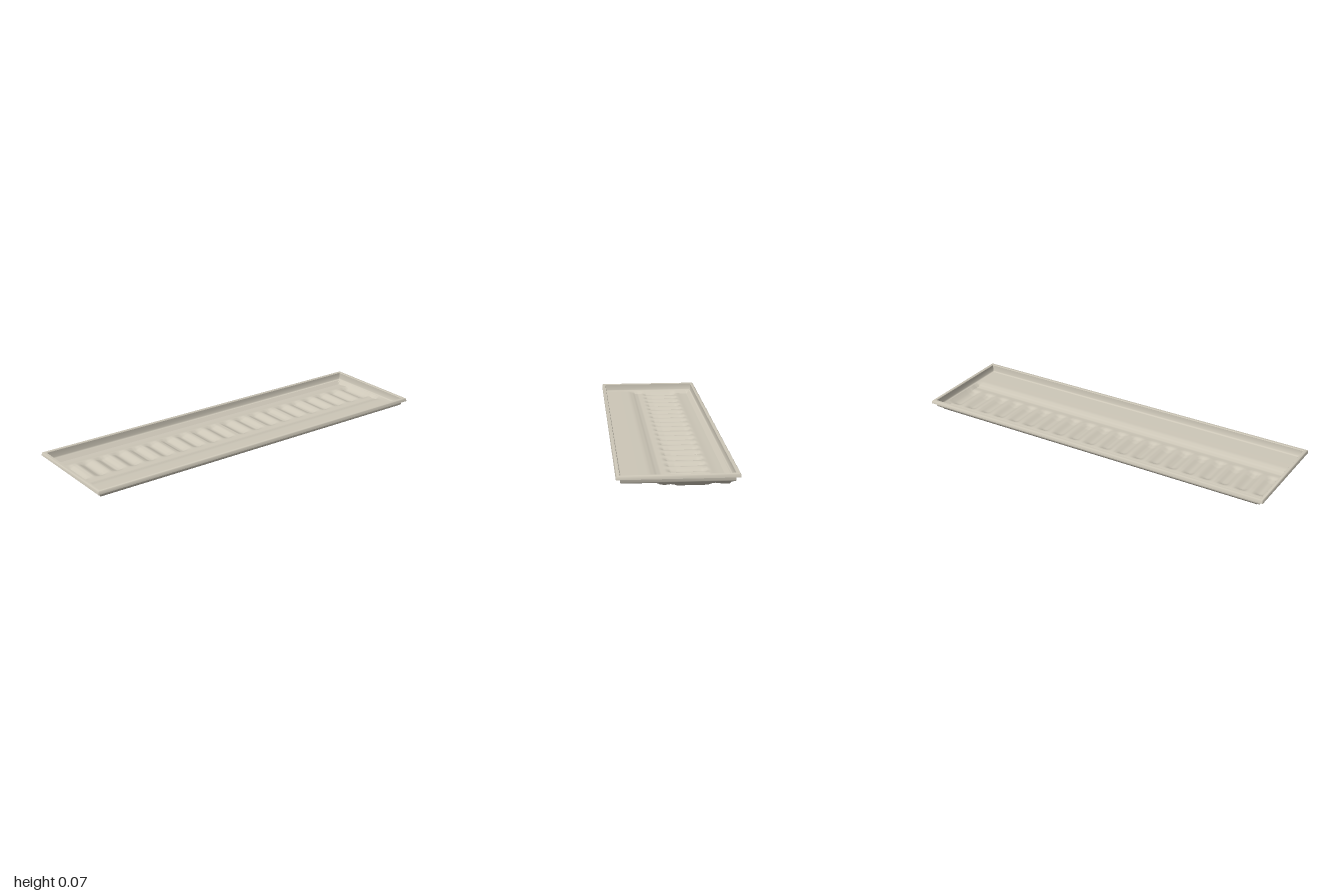
import * as THREE from 'three';
import { toCreasedNormals } from 'three/addons/utils/BufferGeometryUtils.js';

const WALL_X = 0.98, WALL_Z = 0.262; // wall half sizes
const INSET = 0.008, EDGE_Y = 0.03; // where the floor meets the wall
const RIBS = 20, PITCH = 1.95 / RIBS;

// floor height along z, back to front, on the crests between the hollows
const PROFILE = [
  [-0.254, 0.03], [-0.235, 0.012], [-0.2, 0.014], [-0.17, 0.018], [-0.13, 0.02], [0.01, 0.019],
  [0.04, 0.016], [0.06, 0.013], [0.08, 0.016], [0.1, 0.024], [0.12, 0.028], [0.16, 0.029], [0.254, 0.03],
];

function baseHeight(z) {
  let i = 0;
  while (i < PROFILE.length - 2 && z > PROFILE[i + 1][0]) i++;
  const [z0, y0] = PROFILE[i], [z1, y1] = PROFILE[i + 1];
  return THREE.MathUtils.lerp(y0, y1, (z - z0) / (z1 - z0));
}

function floorHeight(x, z) {
  const { smoothstep, lerp } = THREE.MathUtils;
  // rounded hollows pressed across the middle band
  const band = smoothstep(z, -0.17, -0.135) * (1 - smoothstep(z, 0, 0.04));
  const hollow = 0.5 - 0.5 * Math.cos((2 * Math.PI * x) / PITCH);
  const y = lerp(baseHeight(z), 0.003, band * hollow);
  // sloping ends
  const end = Math.max(0, (Math.abs(x) - 0.952) / (WALL_X - INSET - 0.952));
  return lerp(y, EDGE_Y, Math.min(1, end));
}

function floorGeometry() {
  const zs = [];
  for (let i = 0; i < PROFILE.length - 1; i++) {
    const [a] = PROFILE[i], [b] = PROFILE[i + 1];
    const n = Math.max(2, Math.round((b - a) / 0.01));
    for (let k = 0; k < n; k++) zs.push(a + ((b - a) * k) / n);
  }
  zs.push(WALL_Z - INSET);
  const xs = [-(WALL_X - INSET)], steps = RIBS * 12;
  for (let i = 0; i <= steps; i++) xs.push(-0.952 + (1.904 * i) / steps);
  xs.push(WALL_X - INSET);

  const g = new THREE.PlaneGeometry(1, 1, xs.length - 1, zs.length - 1).rotateX(-Math.PI / 2);
  const p = g.attributes.position;
  for (let i = 0; i < p.count; i++) {
    const x = xs[i % xs.length], z = zs[Math.floor(i / xs.length)];
    p.setXYZ(i, x, floorHeight(x, z), z);
  }
  return toCreasedNormals(g, 0.5);
}

// sweeps a section of [outset, y] points round the rectangular wall line
function frameGeometry(section) {
  const corners = [[-1, 1], [1, 1], [1, -1], [-1, -1]];
  const at = ([sx, sz], [d, y]) => [sx * (WALL_X + d), y, sz * (WALL_Z + d)];
  const pos = [];
  corners.forEach((c, i) => {
    const n = corners[(i + 1) % 4];
    for (let k = 0; k < section.length - 1; k++) {
      const a = at(c, section[k]), b = at(c, section[k + 1]);
      const e = at(n, section[k]), f = at(n, section[k + 1]);
      pos.push(...a, ...b, ...e, ...e, ...b, ...f);
    }
  });
  const g = new THREE.BufferGeometry();
  g.setAttribute('position', new THREE.Float32BufferAttribute(pos, 3));
  return toCreasedNormals(g, 0.8);
}

export function createModel() {
  const group = new THREE.Group();
  group.name = 'ribbedTray';
  const beige = new THREE.MeshStandardMaterial({ color: 0xcdc7b8, side: THREE.DoubleSide });
  beige.name = 'warm grey plastic';
  const add = (name, geometry) => {
    const mesh = new THREE.Mesh(geometry, beige);
    mesh.name = name;
    group.add(mesh);
  };

  add('ribbedFloor', floorGeometry());
  // upright wall with a rounded foot
  add('wall', frameGeometry([[-INSET, EDGE_Y], [-0.003, 0.032], [0, 0.037], [0, 0.069]]));
  // flat rim turned down into a slightly flared lip
  add('rim', frameGeometry([[0, 0.069], [0.002, 0.072], [0.015, 0.072], [0.018, 0.069], [0.02, 0.055], [0.016, 0.055]]));
  return group;
}
